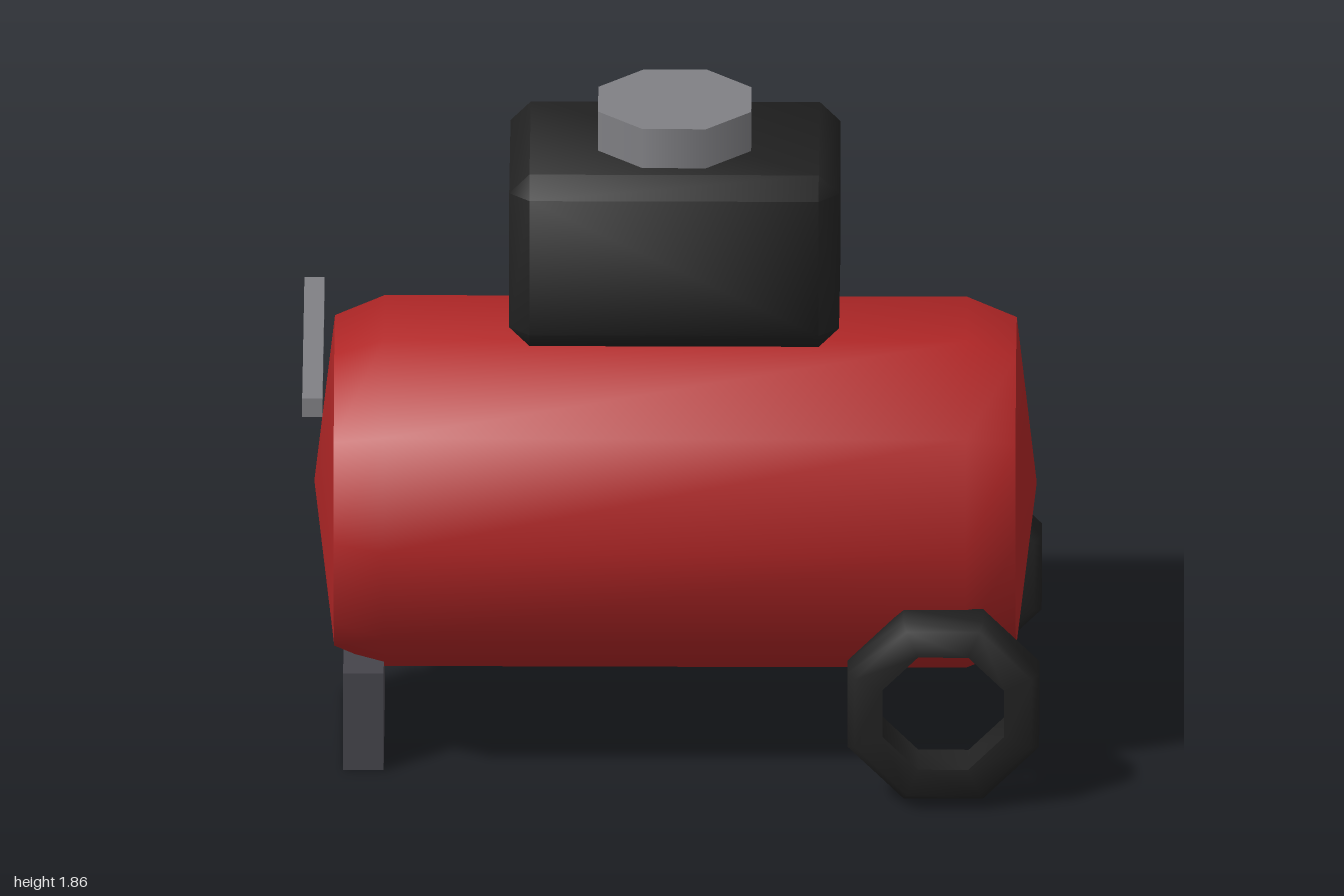
import * as THREE from 'three';
import { toCreasedNormals } from 'three/addons/utils/BufferGeometryUtils.js';
import { ConvexGeometry } from 'three/addons/geometries/ConvexGeometry.js';

const material = (name, color) => {
  const m = new THREE.MeshStandardMaterial({ color });
  m.name = name;
  return m;
};

const points = (list) => list.map(([r, h]) => new THREE.Vector2(r, h));

// Box with all edges cut at 45 degrees by c
function chamferedBox(w, h, d, c) {
  const corners = [];
  for (const x of [-1, 1]) for (const y of [-1, 1]) for (const z of [-1, 1]) {
    for (let axis = 0; axis < 3; axis++) {
      const inset = [c, c, c];
      inset[axis] = 0;
      corners.push(new THREE.Vector3(
        x * (w / 2 - inset[0]), y * (h / 2 - inset[1]), z * (d / 2 - inset[2])));
    }
  }
  return toCreasedNormals(new ConvexGeometry(corners), 1);
}

export function createModel() {
  const group = new THREE.Group();
  group.name = 'airCompressor';

  const red = material('red paint', 0xb02626);
  const black = material('black', 0x222222);
  const grey = material('light grey metal', 0x808084);
  const darkGrey = material('dark grey rubber', 0x45444b);

  const add = (name, geometry, mat, x, y, z) => {
    const mesh = new THREE.Mesh(geometry, mat);
    mesh.name = name;
    mesh.position.set(x, y, z);
    group.add(mesh);
  };

  // Ten-sided tank lying along x, with tapered rims and shallow conical ends
  const tank = new THREE.LatheGeometry(points([
    [0, -0.98], [0.45, -0.925], [0.505, -0.79],
    [0.505, 0.79], [0.45, 0.925], [0, 0.98],
  ]), 10);
  tank.rotateZ(-Math.PI / 2);
  add('tank', toCreasedNormals(tank, 0.75), red, 0.01, 0.735, 0);

  // Motor housing floating just above the tank, with its air filter
  add('motorHousing', chamferedBox(0.895, 0.505, 0.62, 0.055), black, 0.008, 1.4925, 0);
  const filter = new THREE.CylinderGeometry(0.225, 0.225, 0.14, 8);
  filter.rotateY(Math.PI / 8);
  add('airFilter', filter, grey, 0.008, 1.79, 0);

  // Octagonal open wheels, chamfered on the outer rim
  const k = 1 / Math.cos(Math.PI / 8);
  const wheel = new THREE.LatheGeometry(points([
    [0.165 * k, -0.07], [0.24 * k, -0.07], [0.26 * k, -0.045],
    [0.26 * k, 0.045], [0.24 * k, 0.07], [0.165 * k, 0.07], [0.165 * k, -0.07],
  ]), 8, Math.PI / 8);
  wheel.rotateX(Math.PI / 2);
  const wheelGeometry = toCreasedNormals(wheel, 1);
  add('frontWheel', wheelGeometry, black, 0.74, 0.285, 0.48);
  add('backWheel', wheelGeometry, black, 0.74, 0.285, -0.48);

  // Support foot and pull handle at the far end
  add('foot', new THREE.BoxGeometry(0.11, 0.285, 0.56), darkGrey, -0.835, 0.1425, 0);
  add('handle', new THREE.BoxGeometry(0.055, 0.055, 0.845), grey, -0.9725, 1.1275, 0);

  return group;
}
